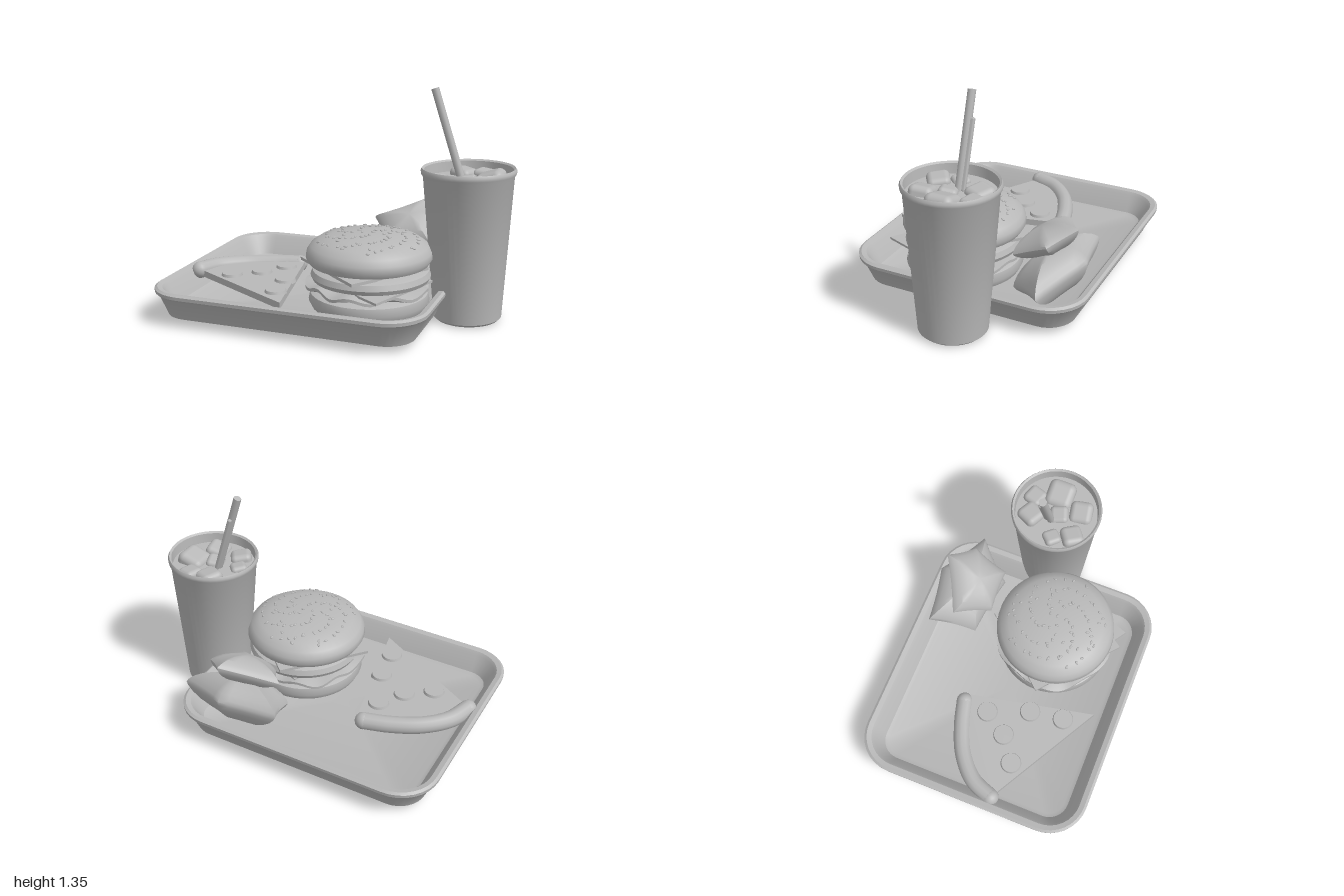
import * as THREE from 'three';
import { toCreasedNormals } from 'three/addons/utils/BufferGeometryUtils.js';
import { RoundedBoxGeometry } from 'three/addons/geometries/RoundedBoxGeometry.js';

const V = (x, y, z) => new THREE.Vector3(x, y, z);

// Skins a list of equal-length closed loops of points
function loft(loops, crease = 0.6) {
  const n = loops[0].length, pos = [], idx = [];
  for (const loop of loops) for (const p of loop) pos.push(p.x, p.y, p.z);
  for (let i = 0; i < loops.length - 1; i++) {
    for (let j = 0; j < n; j++) {
      const a = i * n + j, b = i * n + (j + 1) % n, c = a + n, d = b + n;
      idx.push(a, c, b, b, c, d);
    }
  }
  const g = new THREE.BufferGeometry();
  g.setAttribute('position', new THREE.Float32BufferAttribute(pos, 3));
  g.setIndex(idx);
  return toCreasedNormals(g, crease);
}

// Rounded rectangle outline, shrunk by an inset
function trayLoop(inset, y, scale = 1) {
  const hx = 0.828, hz = 0.732, r = 0.24, steps = 8, pts = [];
  for (let q = 0; q < 4; q++) {
    const sx = q === 0 || q === 3 ? 1 : -1, sz = q < 2 ? 1 : -1;
    for (let i = 0; i <= steps; i++) {
      const a = (q + i / steps) * Math.PI / 2;
      pts.push(V((sx * (hx - r) + Math.cos(a) * (r - inset)) * scale, y,
        (sz * (hz - r) + Math.sin(a) * (r - inset)) * scale));
    }
  }
  return pts;
}

// Puffed packet with pointed corners and thin, slightly pinched edges
function pillow(corners, normal, thickness) {
  const centre = V(0, 0, 0);
  corners.forEach(c => centre.addScaledVector(c, 1 / corners.length));
  const outline = [];
  corners.forEach((c, i) => {
    const next = corners[(i + 1) % corners.length];
    for (let k = 0; k < 6; k++) {
      const p = c.clone().lerp(next, k / 6);
      outline.push(p.lerp(centre, 0.04 * Math.sin(Math.PI * k / 6)));
    }
  });
  const loops = [], up = normal.clone().normalize();
  for (let i = 0; i <= 12; i++) {
    const phi = i / 12 * Math.PI, c = -Math.cos(phi);
    loops.push(outline.map(p => centre.clone().lerp(p, Math.sin(phi))
      .addScaledVector(up, Math.sign(c) * Math.abs(c) ** 1.4 * thickness)));
  }
  return loft(loops, 0.8);
}

const lathe = (pts, crease = 0.7) => toCreasedNormals(
  new THREE.LatheGeometry(pts.map(p => new THREE.Vector2(p[0], p[1])), 48), crease);

// Flat slab from [x, z] corners
function slab(points, depth) {
  const shape = new THREE.Shape(points.map(([x, z]) => new THREE.Vector2(x, -z)));
  return new THREE.ExtrudeGeometry(shape, { depth, bevelEnabled: false }).rotateX(-Math.PI / 2);
}

export function createModel() {
  const root = new THREE.Group();
  root.name = 'fastFoodTray';
  // Open shells and thin sheets show from both sides
  const grey = new THREE.MeshStandardMaterial({ color: 0xb8b8b8, side: THREE.DoubleSide });
  grey.name = 'plain light grey';

  const group = (name, x = 0, z = 0) => {
    const g = new THREE.Group();
    g.name = name;
    g.position.set(x, 0, z);
    root.add(g);
    return g;
  };
  const add = (parent, name, geometry, x = 0, y = 0, z = 0) => {
    const m = new THREE.Mesh(geometry, grey);
    m.name = name;
    m.position.set(x, y, z);
    parent.add(m);
    return m;
  };

  // Tray: underside, flared wall, rolled rim, inner slope, floor
  const trayProfile = [[0.1, 0.035], [0.075, 0.042], [0.025, 0.16], [0.002, 0.18], [0, 0.2],
    [0.015, 0.21], [0.045, 0.203], [0.06, 0.185], [0.115, 0.08], [0.14, 0.068]];
  add(root, 'tray', loft([trayLoop(0.1, 0.035, 0),
    ...trayProfile.map(([i, y]) => trayLoop(i, y)), trayLoop(0.14, 0.068, 0)]), -0.172, 0, 0);

  // Drink, leaning very slightly: cup, liquid, ice and straw
  const drink = group('drink', 0.742, -0.058);
  drink.rotation.z = 0.018;
  add(drink, 'cup', lathe([[0, 0.004], [0.185, 0.004], [0.2, 0.018], [0.262, 0.855], [0.273, 0.872],
    [0.275, 0.89], [0.267, 0.904], [0.255, 0.895], [0.25, 0.83]]));
  add(drink, 'liquid', new THREE.CircleGeometry(0.251, 40).rotateX(-Math.PI / 2), 0, 0.835, 0);
  const iceSpots = [[0.13, -0.02, 0.17], [-0.06, -0.14, 0.14], [-0.11, 0.14, 0.13],
    [0.06, 0.14, 0.14], [0.06, -0.16, 0.12], [-0.16, 0.03, 0.1], [0, 0.02, 0.11]];
  iceSpots.forEach(([x, z, s], i) => {
    add(drink, 'iceCube', new RoundedBoxGeometry(s, s * 0.7, s, 3, s * 0.25), x, 0.825, z)
      .rotation.set(0.3 * Math.sin(i * 2), i * 1.1, 0.3 * Math.cos(i * 3));
  });
  const low = V(-0.038, 0.8, -0.018), high = V(-0.204, 1.35, -0.017);
  const straw = add(drink, 'straw', new THREE.CylinderGeometry(0.023, 0.023, low.distanceTo(high), 10));
  straw.position.copy(low).lerp(high, 0.5);
  straw.quaternion.setFromUnitVectors(V(0, 1, 0), high.clone().sub(low).normalize());
  const fold = add(drink, 'strawFold', new RoundedBoxGeometry(0.025, 0.4, 0.035, 1, 0.01), -0.105, 1.02, -0.04);
  fold.rotation.z = 0.293;

  // Burger, from the bottom up
  const burger = group('burger', 0.2, 0.155);
  add(burger, 'bottomBun', lathe([[0, 0.068], [0.28, 0.068], [0.335, 0.09], [0.355, 0.13],
    [0.345, 0.175], [0.31, 0.19], [0, 0.19]]));
  const lettuceLoop = (r, y, wave) => Array.from({ length: 72 }, (_, i) => {
    const a = i / 72 * Math.PI * 2, rr = r * (1 + wave * Math.sin(a * 5));
    return V(Math.cos(a) * rr, y + wave * 0.35 * Math.sin(a * 9), Math.sin(a) * rr);
  });
  add(burger, 'lettuce', loft([lettuceLoop(0, 0.19, 0), lettuceLoop(0.3, 0.19, 0.02),
    lettuceLoop(0.36, 0.208, 0.04), lettuceLoop(0.36, 0.225, 0.04),
    lettuceLoop(0.3, 0.24, 0.02), lettuceLoop(0, 0.24, 0)]));
  add(burger, 'lowerCheese', slab([[-0.33, 0.08], [0.18, 0.42], [0.36, -0.08], [-0.1, -0.33]], 0.014), 0, 0.235, 0);
  add(burger, 'patty', lathe([[0, 0.24], [0.3, 0.24], [0.34, 0.255], [0.352, 0.28],
    [0.34, 0.312], [0.3, 0.328], [0, 0.328]]), 0.01, 0, 0);
  add(burger, 'upperCheese', slab([[-0.42, 0.03], [0.04, 0.42], [0.35, -0.03], [-0.04, -0.4]], 0.018), 0, 0.325, 0);
  const bunTop = [[0, 0.34], [0.3, 0.34], [0.35, 0.352], [0.37, 0.385], [0.365, 0.42],
    [0.343, 0.455], [0.295, 0.488], [0.22, 0.51], [0.11, 0.524], [0, 0.527]];
  add(burger, 'topBun', lathe(bunTop));

  // Sesame seeds spread over the dome in a spiral
  const seedShape = new THREE.SphereGeometry(1, 6, 4).scale(0.014, 0.006, 0.008);
  for (let i = 0; i < 90; i++) {
    const r = 0.31 * Math.sqrt((i + 0.5) / 90), a = i * 2.4 + 0.4 * Math.sin(i * 7);
    const k = bunTop.findIndex((p, j) => j > 3 && p[0] <= r);
    const [r0, y0] = bunTop[k - 1], [r1, y1] = bunTop[k];
    const y = y0 + (y1 - y0) * (r - r0) / (r1 - r0);
    const slope = (y0 - y1) / (r0 - r1);
    const seed = add(burger, 'sesameSeed', seedShape, Math.cos(a) * r, y + 0.002, Math.sin(a) * r);
    seed.quaternion.setFromUnitVectors(V(0, 1, 0), V(-slope * Math.cos(a), 1, -slope * Math.sin(a)).normalize());
    seed.rotateY(i * 1.7);
  }

  // Pizza slice with crust and pepperoni
  const pizza = group('pizzaSlice');
  add(pizza, 'pizzaBase', slab([[-0.19, 0.57], [-0.9, 0.17], [-0.83, 0.02], [-0.7, -0.1],
    [-0.54, -0.18], [-0.36, -0.23]], 0.04), 0, 0.145, 0);
  const crustPath = new THREE.CatmullRomCurve3([V(-0.91, 0.18, 0.16), V(-0.85, 0.174, 0.02),
    V(-0.72, 0.168, -0.1), V(-0.55, 0.164, -0.18), V(-0.4, 0.164, -0.225)]);
  add(pizza, 'crust', new THREE.TubeGeometry(crustPath, 32, 0.052, 12));
  for (const t of [0, 1]) {
    const p = crustPath.getPoint(t);
    add(pizza, 'crustEnd', new THREE.SphereGeometry(0.052, 16, 12), p.x, p.y, p.z);
  }
  for (const [x, z] of [[-0.42, -0.06], [-0.52, 0.09], [-0.67, 0.2], [-0.32, 0.19], [-0.29, 0.4]]) {
    add(pizza, 'pepperoni', new THREE.CylinderGeometry(0.06, 0.067, 0.022, 20), x, 0.19, z);
  }

  // Two puffed packets stacked in the back corner
  const packets = group('packets');
  add(packets, 'lowerPacket', pillow([V(-0.03, 0.33, -0.62), V(0.32, 0.35, -0.68), V(0.66, 0.26, -0.52),
    V(0.45, 0.17, -0.29), V(0.05, 0.2, -0.34)], V(0, 1, 0.3), 0.14));
  add(packets, 'upperPacket', pillow([V(0.03, 0.45, -0.47), V(0.34, 0.56, -0.63), V(0.48, 0.48, -0.5),
    V(0.44, 0.37, -0.28), V(0.17, 0.34, -0.27)], V(-0.1, 0.85, 0.5), 0.085));

  return root;
}
